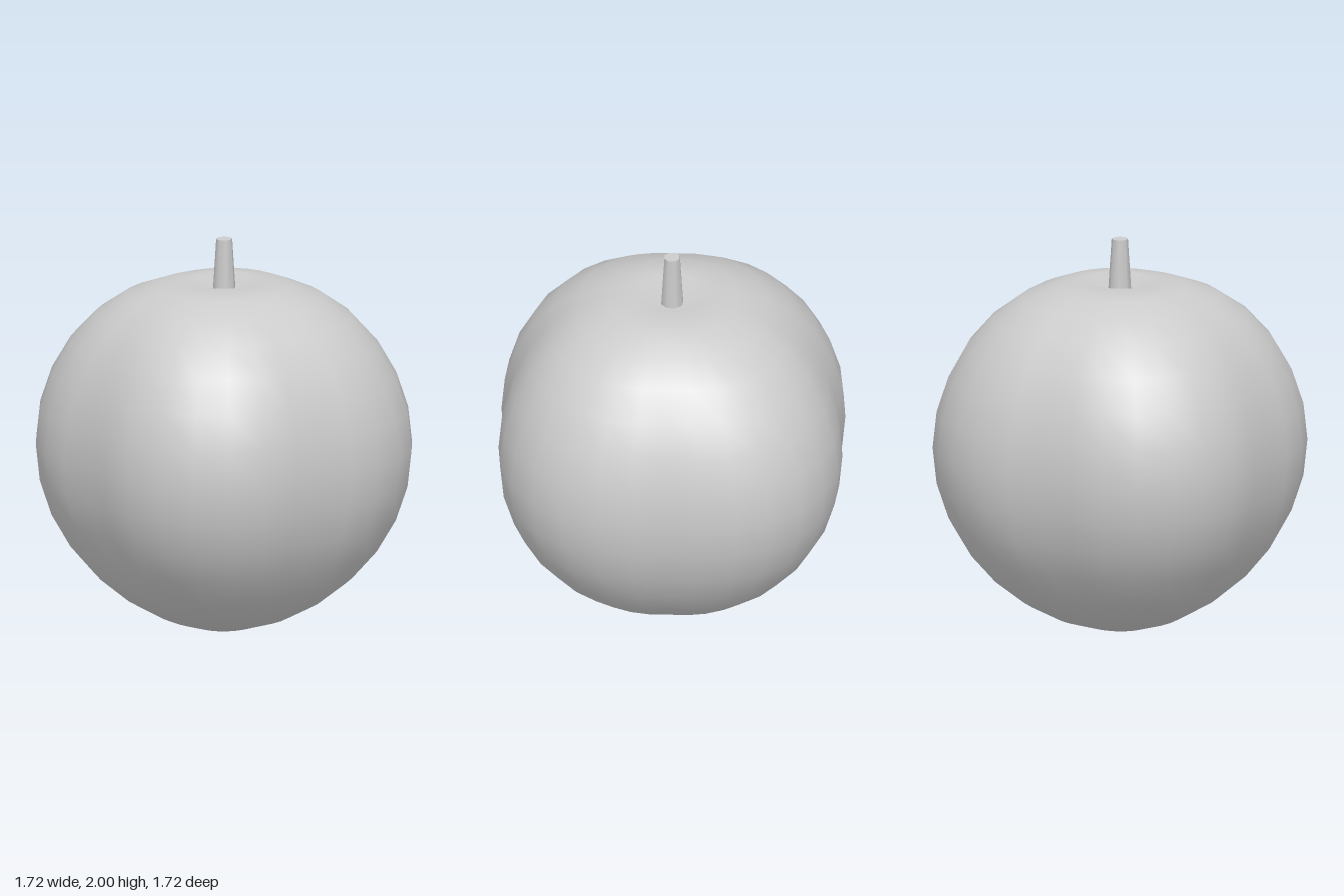
import * as THREE from 'three';
import { mergeVertices } from 'three/addons/utils/BufferGeometryUtils.js';

const material = new THREE.MeshStandardMaterial({ color: 0xcccccc });
const RINGS = 16;

// Four-lobed fruit with a dimple at the top
function makeBody() {
  const geo = new THREE.SphereGeometry(1, 32, RINGS);
  const pos = geo.attributes.position;
  const dent = [0.19, 0.087, 0.055, 0.026, 0.008]; // depth per ring from the top
  for (let i = 0; i < pos.count; i++) {
    const x = pos.getX(i), y = pos.getY(i), z = pos.getZ(i);
    const phi = Math.acos(THREE.MathUtils.clamp(y, -1, 1));
    const s = Math.sin(phi);
    const lobe = Math.pow(Math.abs(Math.sin(2 * Math.atan2(z, x))), 1.15);
    const radius = 0.84 + 0.109 * lobe * s;
    const ring = Math.round((phi / Math.PI) * RINGS);
    pos.setXYZ(i, x * radius, 0.945 * (1 + y) - (dent[ring] ?? 0), z * radius);
  }
  // Weld the seam and poles for continuous smooth normals
  geo.deleteAttribute('uv');
  geo.deleteAttribute('normal');
  const welded = mergeVertices(geo, 1e-4);
  welded.computeVertexNormals();
  return welded;
}

export function createModel() {
  const group = new THREE.Group();
  group.name = 'fruit';

  const body = new THREE.Mesh(makeBody(), material);
  body.name = 'body';

  // Tapered eight-sided stem rising out of the dimple
  const bottom = 1.62, top = 2;
  const stem = new THREE.Mesh(
    new THREE.CylinderGeometry(0.041, 0.065, top - bottom, 8), material);
  stem.position.y = (top + bottom) / 2;
  stem.rotation.y = Math.PI / 8;
  stem.name = 'stem';

  group.add(body, stem);
  return group;
}
